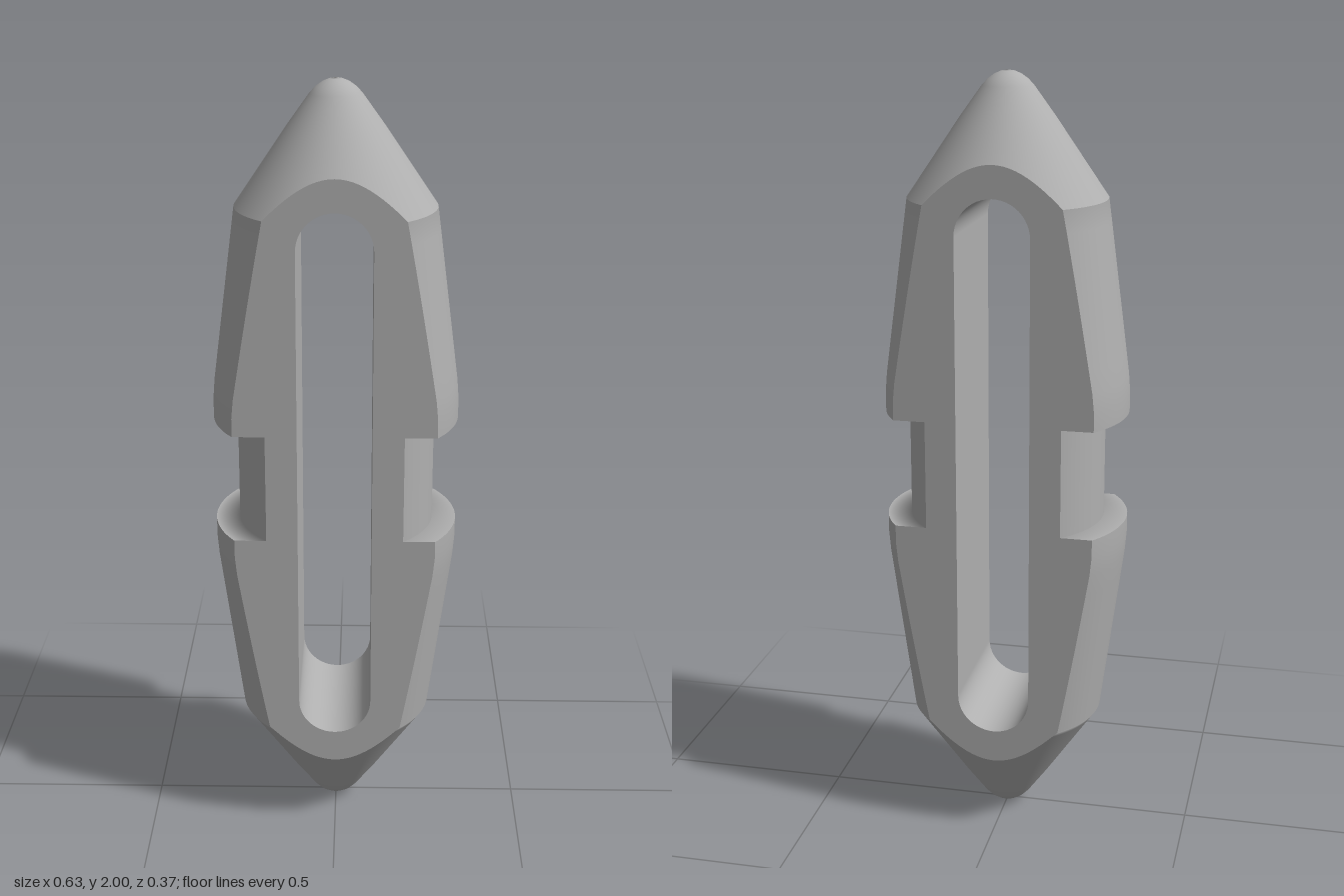
import * as THREE from 'three';

const HALF = 0.185;   // half thickness between the two flats
const SLOT_R = 0.095; // half width of the slot
const SLOT_LOW = 0.39, SLOT_HIGH = 1.615; // centres of the slot's round ends

// Half width of the flat where the round body has radius r
const flatX = (r) => Math.sqrt(Math.max(0, r * r - HALF * HALF));

// Round band on the +x side, trimmed where it meets the two flats
function trimmedBand(points) {
  const segments = 40;
  const geo = new THREE.LatheGeometry(points, segments, 0, Math.PI);
  const pos = geo.attributes.position, nor = geo.attributes.normal;
  const n = points.length;
  for (let i = 0; i < pos.count; i++) {
    const p = points[i % n];
    const t = Math.floor(i / n) / segments;
    const limit = p.x > HALF ? Math.asin(HALF / p.x) : Math.PI / 2;
    const a = limit * (1 - 2 * t);
    pos.setXYZ(i, p.x * Math.cos(a), p.y, p.x * Math.sin(a));
    const ny = nor.getY(i), nr = Math.sqrt(Math.max(0, 1 - ny * ny));
    nor.setXYZ(i, nr * Math.cos(a), ny, nr * Math.sin(a));
  }
  return geo;
}

// Inner wall of the slot, facing inwards
function slotWall(outline) {
  const position = [], normal = [], index = [];
  const n = outline.length;
  outline.forEach((p, i) => {
    const cy = THREE.MathUtils.clamp(p.y, SLOT_LOW, SLOT_HIGH);
    for (const z of [-HALF, HALF]) {
      position.push(p.x, p.y, z);
      normal.push(-p.x / SLOT_R, (cy - p.y) / SLOT_R, 0);
    }
    const a = 2 * i, b = 2 * ((i + 1) % n);
    index.push(a, a + 1, b, b, a + 1, b + 1);
  });
  const geo = new THREE.BufferGeometry();
  geo.setAttribute('position', new THREE.Float32BufferAttribute(position, 3));
  geo.setAttribute('normal', new THREE.Float32BufferAttribute(normal, 3));
  geo.setIndex(index);
  return geo;
}

export function createModel() {
  const group = new THREE.Group();
  const grey = new THREE.MeshStandardMaterial({ color: 0xb0b0b0 });
  grey.name = 'grey';
  const add = (name, geo, turn = 0) => {
    const mesh = new THREE.Mesh(geo, grey);
    mesh.name = name;
    mesh.rotation.y = turn;
    group.add(mesh);
  };
  const V = (x, y) => new THREE.Vector2(x, y);

  // Profile of the upper half, from the middle upwards
  const groove = [V(0.255, 1), V(0.255, 1.142)];
  const ledge = [V(0.255, 1.142), V(0.317, 1.142)];
  const body = [V(0.317, 1.142), V(0.317, 1.19), V(0.313, 1.24)];
  for (let i = 1; i <= 8; i++) body.push(V(0.313 - 0.059 * i / 8, 1.24 + 0.45 * i / 8));
  const cone = [];
  const coneY = (r) => 1.69 + (0.254 - r) * 1.47;
  const edgeX = flatX(0.254);
  for (let i = 0; i <= 12; i++) {
    const r = Math.hypot(HALF, edgeX * (1 - i / 12));
    cone.push(V(r, coneY(r)));
  }
  cone.push(V(0.12, coneY(0.12)), V(0.065, 1.963), V(0.05, 1.979), V(0.033, 1.991), V(0.016, 1.998), V(0, 2));

  // Upper and lower halves, each with a left and a right side
  const bands = { groove, grooveLedge: ledge, body, nose: cone };
  for (const [name, points] of Object.entries(bands)) {
    const lower = points.map((p) => V(p.x, 2 - p.y)).reverse();
    for (const [half, profile] of [['upper', points], ['lower', lower]]) {
      add(`${half} ${name} left`, trimmedBand(profile));
      add(`${half} ${name} right`, trimmedBand(profile), Math.PI);
    }
  }

  // Outline of the flats follows the same profile
  const up = [...groove, ...ledge.slice(1), ...body.slice(1), ...cone.slice(1, 13)]
    .map((p) => V(flatX(p.x), p.y));
  const down = up.slice(1).map((p) => V(p.x, 2 - p.y)).reverse();
  const side = [...down, ...up]; // bottom tip to top tip on +x
  const outline = [...side, ...side.slice(1, -1).reverse().map((p) => V(-p.x, p.y))];

  // Rounded slot outline, counterclockwise
  const slot = [];
  for (const [cy, start] of [[SLOT_HIGH, 0], [SLOT_LOW, Math.PI]]) {
    for (let i = 0; i <= 24; i++) {
      const a = start + Math.PI * i / 24;
      slot.push(V(SLOT_R * Math.cos(a), cy + SLOT_R * Math.sin(a)));
    }
  }
  const flat = new THREE.Shape(outline);
  flat.holes.push(new THREE.Path(slot));
  const flatGeo = new THREE.ShapeGeometry(flat).translate(0, 0, HALF);
  add('front flat', flatGeo);
  add('back flat', flatGeo, Math.PI);
  add('slot wall', slotWall(slot));

  return group;
}
